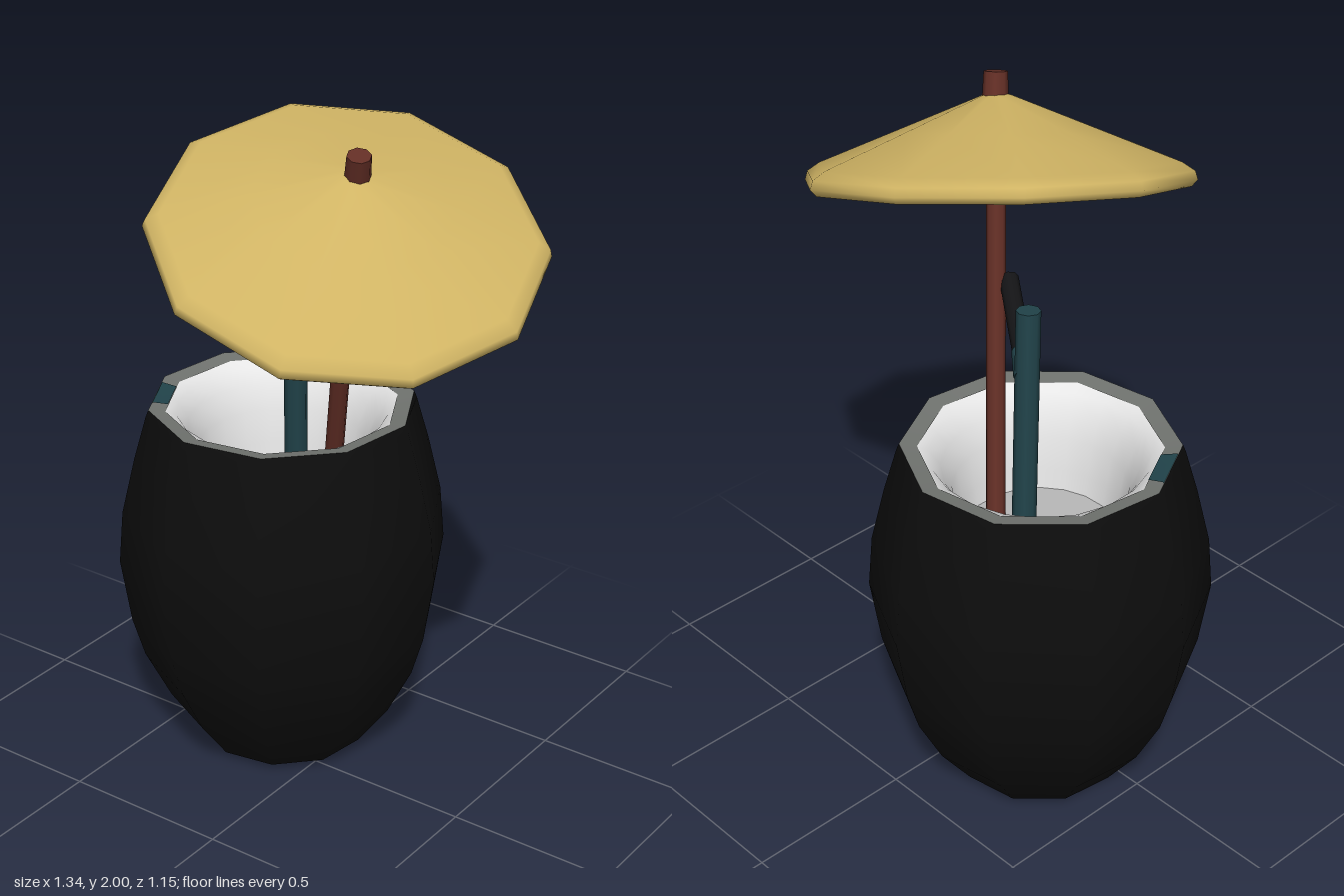
import * as THREE from 'three';

const mat = (name, color, side = THREE.FrontSide) => {
  const m = new THREE.MeshStandardMaterial({ color, side });
  m.name = name;
  return m;
};
const deg = Math.PI / 180;
const V = (x, y, z) => new THREE.Vector3(x, y, z);
const UP = V(0, 1, 0);

export function createModel() {
  const model = new THREE.Group();
  const shellBlack = mat('shell black', 0x0d0d0d);
  const rimGrey = mat('rim grey', 0x70736f);
  const fleshWhite = mat('flesh white', 0xe6e6e6);
  const liquidGrey = mat('liquid grey', 0xb8b8b8);
  const strawTeal = mat('straw teal', 0x21434a);
  const strawBlack = mat('straw tip black', 0x141416);
  const canopyYellow = mat('canopy yellow', 0xd0b464);
  const poleBrown = mat('pole brown', 0x622e25);

  const add = (parent, name, geometry, material) => {
    const mesh = new THREE.Mesh(geometry, material);
    mesh.name = name;
    parent.add(mesh);
    return mesh;
  };
  const lathe = (points, sides, start = 0, length = Math.PI * 2) =>
    new THREE.LatheGeometry(points.map(([r, y]) => new THREE.Vector2(r, y)), sides, start, length);
  // Round rod between two points
  const rod = (name, a, b, r, material, sides = 8, rTop = r) => {
    const dir = b.clone().sub(a);
    const mesh = add(model, name, new THREE.CylinderGeometry(rTop, r, dir.length(), sides), material);
    mesh.position.copy(a).add(b).multiplyScalar(0.5);
    mesh.quaternion.setFromUnitVectors(UP, dir.normalize());
    return mesh;
  };

  // Ten-sided hollow shell
  const cup = new THREE.Group();
  cup.name = 'cup';
  cup.position.set(-0.192, 0, -0.102);
  model.add(cup);
  const turn = 28 * deg;
  add(cup, 'shell', lathe([[0, 0], [0.21, 0], [0.25, 0.02], [0.345, 0.15], [0.42, 0.3], [0.455, 0.42],
    [0.485, 0.62], [0.472, 0.78], [0.432, 0.95], [0.395, 1.08], [0.387, 1.1]], 10, turn), shellBlack);
  add(cup, 'rim', lathe([[0.387, 1.1], [0.338, 1.092]], 10, turn), rimGrey);
  add(cup, 'flesh', lathe([[0.338, 1.092], [0.305, 1.075], [0.275, 1.03], [0.245, 0.96],
    [0.228, 0.86], [0.215, 0.78]], 20, turn), fleshWhite);
  add(cup, 'liquid', lathe([[0.228, 0.8], [0, 0.8]], 20, turn), liquidGrey);
  // Coloured patch on the rim
  add(cup, 'rimPatch', lathe([[0.374, 1.1], [0.372, 1.103], [0.328, 1.096]], 1, -73 * deg, 22 * deg), strawTeal);

  // Bent straw
  rod('straw', V(-0.19, 0.78, -0.165), V(-0.155, 1.515, -0.115), 0.034, strawTeal);
  rod('strawJoint', V(-0.162, 1.32, -0.128), V(-0.105, 1.36, -0.09), 0.036, strawTeal, 8, 0.03);
  rod('strawBranch', V(-0.125, 1.348, -0.105), V(0.085, 1.45, 0.04), 0.027, strawBlack);

  // Umbrella pole and its end cap
  rod('pole', V(-0.05, 0.79, -0.14), V(0.215, 1.93, 0.118), 0.027, poleBrown);
  rod('poleCap', V(0.218, 1.915, 0.117), V(0.236, 1.988, 0.136), 0.036, poleBrown, 8, 0.033);

  // Tilted ten-sided canopy, hollow underneath
  const canopy = add(model, 'canopy', lathe([[0, 0.18], [0.26, 0.09], [0.49, -0.025], [0.525, -0.03],
    [0.542, -0.012], [0.535, 0.012], [0.5, 0.035], [0.27, 0.125], [0.04, 0.215], [0, 0.225]],
  10, Math.PI / 2), canopyYellow);
  canopy.position.set(0.157, 1.728, 0.07);
  canopy.quaternion.setFromUnitVectors(UP, V(0.32, 1, 0.28).normalize());

  return model;
}
